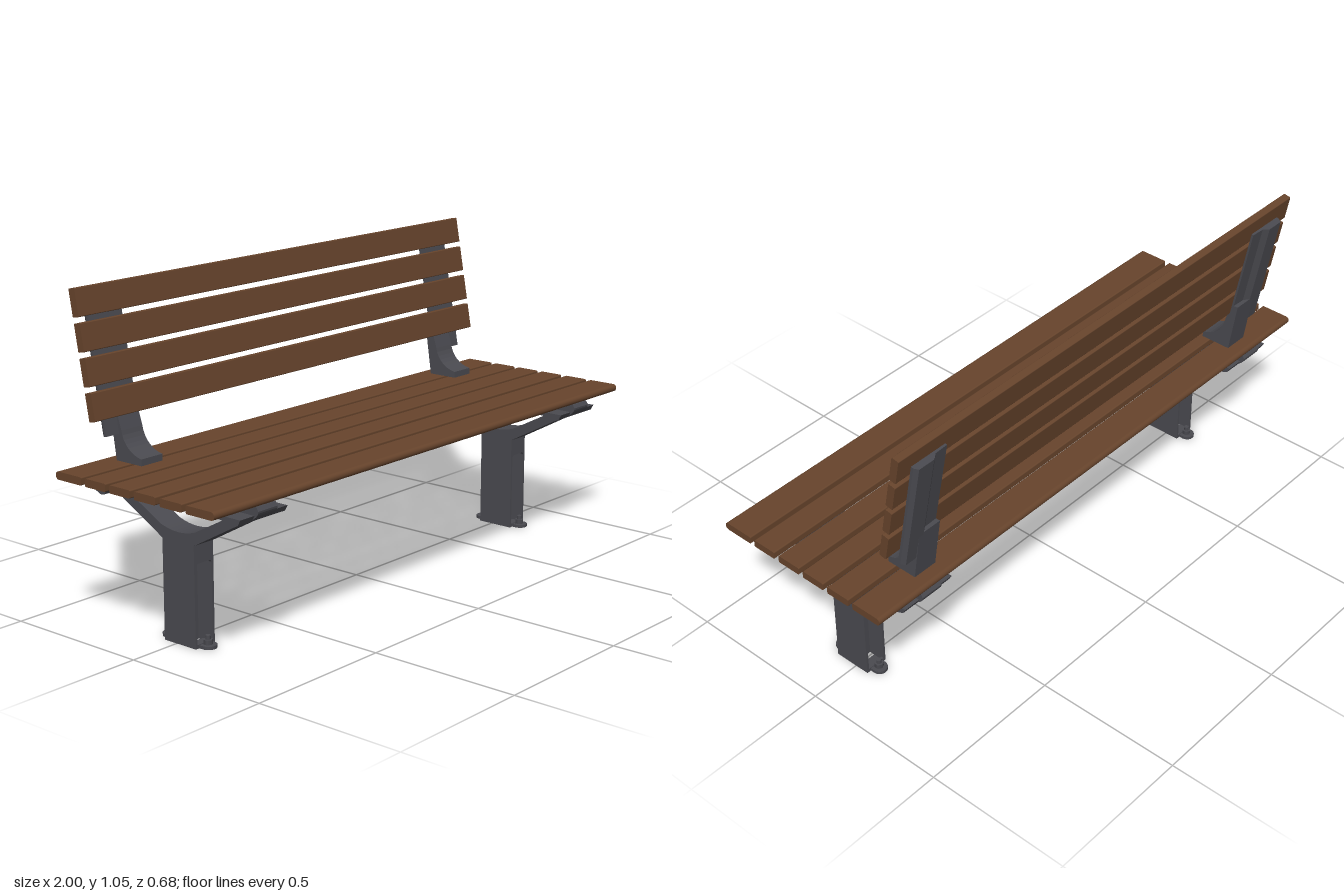
import * as THREE from 'three';

const wood = new THREE.MeshStandardMaterial({ color: 0x67442c });
wood.name = 'brown wood';
const metal = new THREE.MeshStandardMaterial({ color: 0x4a4a50 });
metal.name = 'dark grey metal';

function add(parent, name, geometry, material, x = 0, y = 0, z = 0) {
  const mesh = new THREE.Mesh(geometry, material);
  mesh.name = name;
  mesh.position.set(x, y, z);
  parent.add(mesh);
  return mesh;
}

const box = (w, h, d) => new THREE.BoxGeometry(w, h, d);
const polygon = (points) => new THREE.Shape(points.map(([a, b]) => new THREE.Vector2(a, b)));

// Extrudes a (z, y) side profile along x, centred on x = 0
function sideExtrude(shape, width) {
  const g = new THREE.ExtrudeGeometry(shape, { depth: width, bevelEnabled: false, curveSegments: 8 });
  g.translate(0, 0, -width / 2);
  g.rotateY(-Math.PI / 2);
  return g;
}

// Slat cross-section with its own radius at each z end
function slatShape(z0, z1, y0, y1, r0, r1) {
  const s = new THREE.Shape();
  s.absarc(z1 - r1, y0 + r1, r1, -Math.PI / 2, 0, false);
  s.absarc(z1 - r1, y1 - r1, r1, 0, Math.PI / 2, false);
  s.absarc(z0 + r0, y1 - r0, r0, Math.PI / 2, Math.PI, false);
  s.absarc(z0 + r0, y0 + r0, r0, Math.PI, Math.PI * 1.5, false);
  return s;
}

function buildSeat() {
  const seat = new THREE.Group();
  seat.name = 'seat';
  const spans = [[0.23, 0.34], [0.127, 0.213], [0.022, 0.108], [-0.08, 0.005], [-0.183, -0.097], [-0.31, -0.2]];
  spans.forEach(([z0, z1], i) => {
    const r0 = i === 5 ? 0.012 : 0.004;
    const r1 = i === 0 ? 0.012 : 0.004;
    add(seat, 'seatSlat', sideExtrude(slatShape(z0, z1, 0.489, 0.514, r0, r1), 2), wood);
  });
  return seat;
}

// Leaning backrest: four slats and the two uprights behind them
function buildBackrest() {
  const back = new THREE.Group();
  back.name = 'backrest';
  back.position.set(0, 0.697, -0.251);
  back.rotation.x = -0.181;
  for (let i = 0; i < 4; i++) {
    add(back, 'backSlat', sideExtrude(slatShape(-0.013, 0.013, -0.043, 0.043, 0.003, 0.003), 1.82), wood, 0, i * 0.1037, 0);
  }
  for (const side of [-1, 1]) {
    // Plate with a chamfered rear face, pushed to the outer side
    const section = polygon([[0.717, 0.013], [0.854, 0.013], [0.854, 0.022], [0.845, 0.036], [0.785, 0.036], [0.765, 0.022], [0.717, 0.02]]
      .map(([x, d]) => [x * side, d]));
    const g = new THREE.ExtrudeGeometry(section, { depth: 0.398, bevelEnabled: false });
    g.rotateX(-Math.PI / 2);
    g.scale(1, 1, 1);
    add(back, 'backUpright', g, metal, 0, -0.098, 0);
  }
  return back;
}

// Curved foot that carries an upright on the seat
function footShape() {
  const s = new THREE.Shape();
  s.moveTo(-0.26, 0.514);
  s.lineTo(-0.153, 0.514);
  s.lineTo(-0.153, 0.535);
  s.bezierCurveTo(-0.195, 0.54, -0.23, 0.57, -0.236, 0.61);
  s.lineTo(-0.262, 0.69);
  s.lineTo(-0.286, 0.69);
  s.closePath();
  return s;
}

// Y-shaped bracket under the seat, symmetric about z = 0.015
function armShape() {
  const s = new THREE.Shape();
  const c = 0.015;
  s.moveTo(c + 0.065, 0.32);
  s.lineTo(c + 0.265, 0.43);
  s.quadraticCurveTo(c + 0.325, 0.452, c + 0.325, 0.476);
  s.lineTo(c + 0.318, 0.488);
  s.lineTo(c - 0.318, 0.488);
  s.lineTo(c - 0.325, 0.476);
  s.quadraticCurveTo(c - 0.325, 0.452, c - 0.265, 0.43);
  s.lineTo(c - 0.065, 0.32);
  s.closePath();
  const hole = new THREE.Path();
  hole.moveTo(c + 0.24, 0.452);
  hole.lineTo(c + 0.07, 0.362);
  hole.quadraticCurveTo(c, 0.338, c - 0.07, 0.362);
  hole.lineTo(c - 0.24, 0.452);
  hole.closePath();
  s.holes.push(hole);
  return s;
}

// Front or back face of the leg with a tall slot
function legFace() {
  const s = polygon([[-0.04, 0], [0.04, 0], [0.04, 0.335], [-0.04, 0.335]]);
  const slot = new THREE.Path();
  slot.absarc(0.022, 0.252, 0.01, 0, Math.PI / 2, false);
  slot.absarc(-0.022, 0.252, 0.01, Math.PI / 2, Math.PI, false);
  slot.lineTo(-0.032, 0.012);
  slot.lineTo(0.032, 0.012);
  slot.closePath();
  s.holes.push(slot);
  return new THREE.ExtrudeGeometry(s, { depth: 0.01, bevelEnabled: false });
}

function buildSupport(side) {
  const support = new THREE.Group();
  support.name = side > 0 ? 'leftSupport' : 'rightSupport';
  support.position.x = side * 0.784;

  // Hollow leg
  for (const x of [-0.036, 0.036]) add(support, 'legSide', box(0.008, 0.335, 0.13), metal, x, 0.1675, 0.015);
  add(support, 'legFront', legFace(), metal, 0, 0, 0.07);
  add(support, 'legBack', legFace(), metal, 0, 0, -0.05);
  add(support, 'legWeb', box(0.066, 0.33, 0.01), metal, 0, 0.165, 0.015);

  // Arms and wide flange that holds the seat
  add(support, 'seatArms', sideExtrude(armShape(), 0.08), metal);
  add(support, 'seatFlange', box(0.196, 0.01, 0.58), metal, 0, 0.456, 0.015);
  for (const x of [-0.093, 0.093]) add(support, 'flangeRib', box(0.01, 0.012, 0.54), metal, x, 0.454, 0.015);
  for (const dir of [-1, 1]) {
    const pad = polygon([[0.23, 0.461], [0.31, 0.461], [0.3, 0.443], [0.262, 0.427], [0.245, 0.431]]
      .map(([z, y]) => [0.015 + dir * z, y]));
    add(support, 'flangePad', sideExtrude(pad, 0.196), metal);

    // Rounded anchor tab with nut and bolt
    const z = 0.015 + dir * 0.08;
    add(support, 'anchorTab', box(0.05, 0.01, 0.05), metal, 0, 0.005, z - dir * 0.025);
    add(support, 'anchorTabEnd', new THREE.CylinderGeometry(0.025, 0.025, 0.01, 20), metal, 0, 0.005, z);
    add(support, 'anchorNut', new THREE.CylinderGeometry(0.015, 0.015, 0.015, 6), metal, 0, 0.0175, z - dir * 0.003);
    add(support, 'anchorBolt', new THREE.CylinderGeometry(0.008, 0.008, 0.014, 12), metal, 0, 0.031, z - dir * 0.003);
  }

  // Foot of the backrest, set to the inner side
  add(support, 'backFoot', sideExtrude(footShape(), 0.086), metal, -side * 0.024, 0, 0);
  return support;
}

export function createModel() {
  const bench = new THREE.Group();
  bench.name = 'bench';
  bench.add(buildSeat(), buildBackrest(), buildSupport(1), buildSupport(-1));
  return bench;
}
